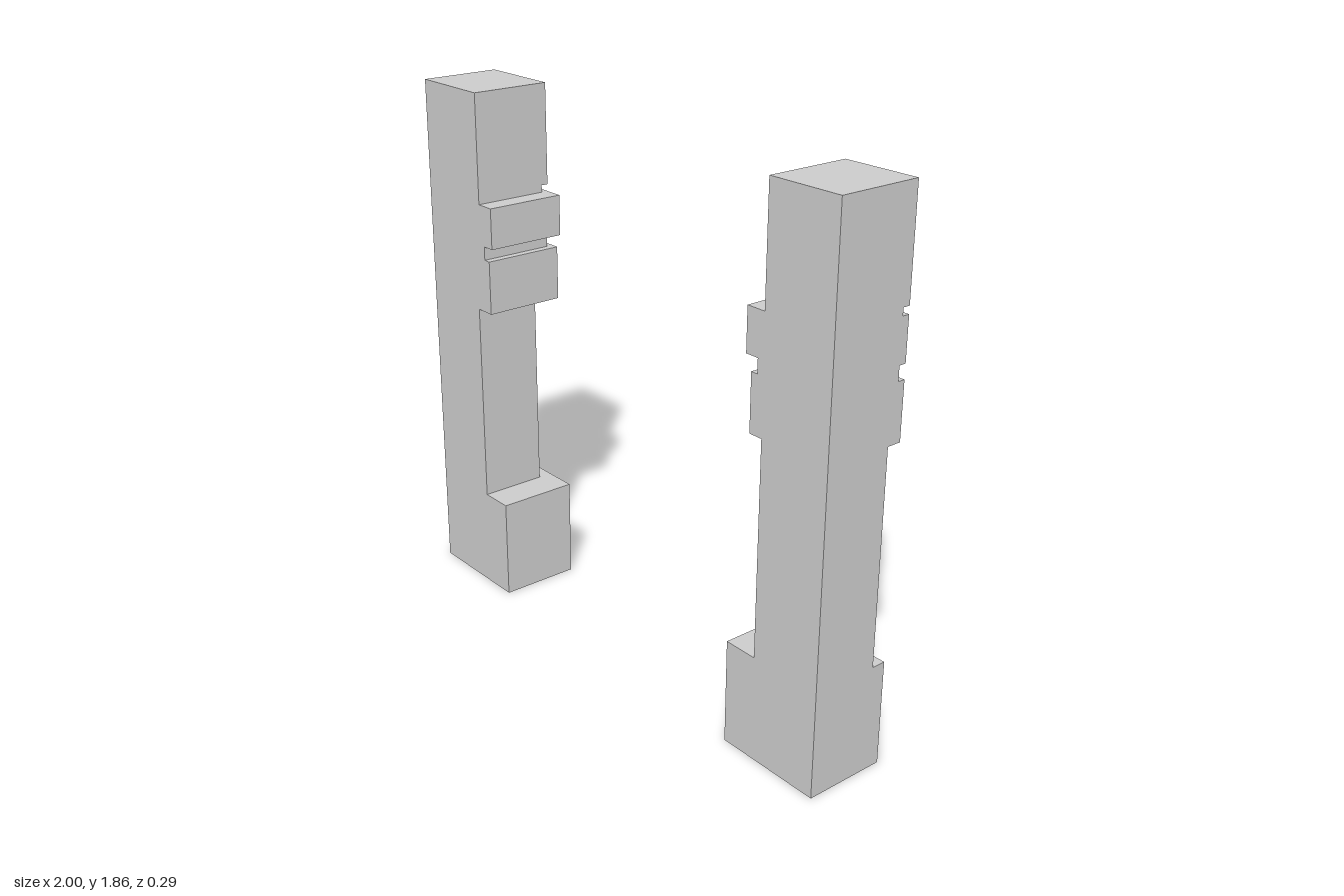
import * as THREE from 'three';

const FRONT = 0.145;
const material = new THREE.MeshStandardMaterial({ color: 0xcccccc, flatShading: true });

// Heights of the stacked tiers of each pillar
const tiers = {
  base: [0, 0.363],
  shaft: [0.363, 1.09],
  lowerCapital: [1.09, 1.282],
  neck: [1.282, 1.33],
  upperCapital: [1.33, 1.475],
  topRecess: [1.475, 1.5],
  head: [1.5, 1.858],
};

// Plan of each tier: bays of the back face as [end distance from outer side, back z]
const leftPlans = {
  base: [[0.387, -0.145]],
  shaft: [[0.065, -0.095], [0.095, -0.075], [0.265, -0.095]],
  lowerCapital: [[0.073, -0.145], [0.105, -0.075], [0.315, -0.145]],
  neck: [[0.29, -0.12]],
  upperCapital: [[0.05, -0.145], [0.1, -0.12], [0.338, -0.145]],
  topRecess: [[0.268, -0.12]],
  head: [[0.268, -0.145]],
};
const rightPlans = {
  base: [[0.407, -0.145]],
  shaft: [[0.12, -0.075], [0.285, -0.095]],
  lowerCapital: [[0.115, -0.075], [0.36, -0.145]],
  neck: [[0.333, -0.12]],
  upperCapital: [[0.14, -0.12], [0.38, -0.145]],
  topRecess: [[0.31, -0.12]],
  head: [[0.31, -0.145]],
};

// One tier: flat front, stepped back, extruded upwards
function makeTier(name, side, bays) {
  const [y0, y1] = tiers[name];
  const points = [];
  const add = (u, z) => points.push(new THREE.Vector2(side * (1 - u), -z));
  let u = 0;
  add(u, FRONT);
  for (const [end, z] of bays) {
    add(u, z);
    add(end, z);
    u = end;
  }
  add(u, FRONT);
  const geometry = new THREE.ExtrudeGeometry(new THREE.Shape(points), { depth: y1 - y0, bevelEnabled: false });
  geometry.rotateX(-Math.PI / 2).translate(0, y0, 0);
  const mesh = new THREE.Mesh(geometry, material);
  mesh.name = name;
  return mesh;
}

function makePillar(name, side, plans) {
  const pillar = new THREE.Group();
  pillar.name = name;
  for (const tier of Object.keys(tiers)) pillar.add(makeTier(tier, side, plans[tier]));
  return pillar;
}

export function createModel() {
  const model = new THREE.Group();
  model.name = 'gatePillars';
  model.add(makePillar('leftPillar', 1, leftPlans), makePillar('rightPillar', -1, rightPlans));
  return model;
}
